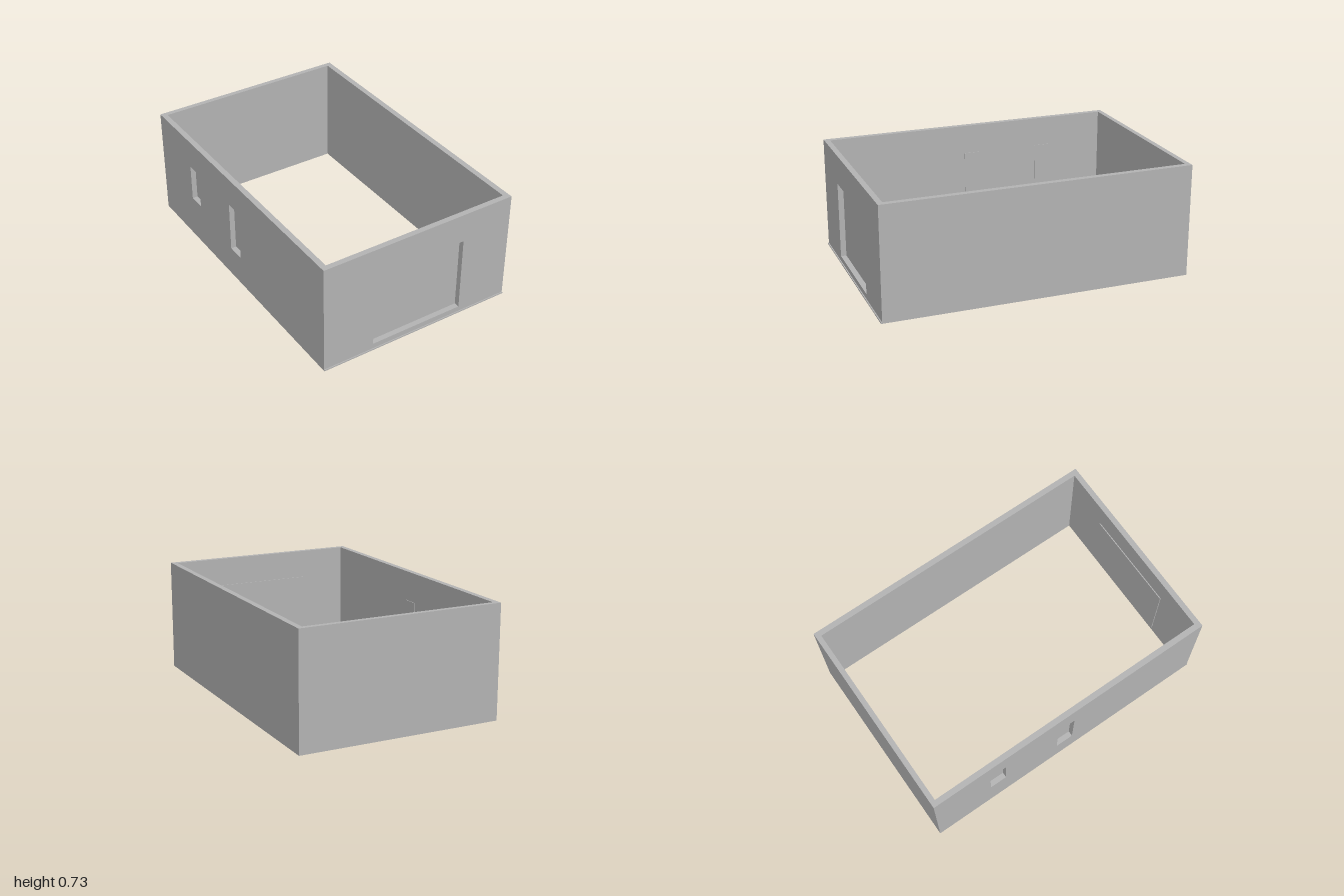
import * as THREE from 'three';

const W = 0.664;               // half width
const H = 0.733;               // wall height
const T = 0.037;               // side wall thickness
const BACK = -1, FRONT = 0.993;
const BACK_IN = -0.967, FRONT_IN = 0.957;
const PANEL = 0.006;           // thickness of the closing panels

// openings as [from, to, bottom, top] along each wall
const DOOR = [-0.318, 0.318, 0.042, 0.54];
const WINDOWS = [
  [-0.6, -0.485, 0.295, 0.54],
  [-0.09, 0.03, 0.205, 0.54],
];

function rectPoints([a, b, y0, y1]) {
  return [[a, y0], [b, y0], [b, y1], [a, y1]].map(([x, y]) => new THREE.Vector2(x, y));
}

// upright wall in the xy plane with rectangular openings, extruded along +z
function wallGeometry(a, b, depth, openings = []) {
  const shape = new THREE.Shape(rectPoints([a, b, 0, H]));
  for (const o of openings) shape.holes.push(new THREE.Path(rectPoints(o).reverse()));
  return new THREE.ExtrudeGeometry(shape, { depth, bevelEnabled: false });
}

export function createModel() {
  const model = new THREE.Group();
  model.name = 'garageShell';
  const grey = new THREE.MeshStandardMaterial({ color: 0xb2b2b2 });
  grey.name = 'plainGrey';

  function add(name, geometry, x = 0, y = 0, z = 0) {
    const mesh = new THREE.Mesh(geometry, grey);
    mesh.name = name;
    mesh.position.set(x, y, z);
    model.add(mesh);
    return mesh;
  }

  // front wall with the door opening, plain back wall
  add('frontWall', wallGeometry(-W, W, FRONT - FRONT_IN, [DOOR]), 0, 0, FRONT_IN);
  add('backWall', wallGeometry(-W, W, BACK_IN - BACK), 0, 0, BACK);

  // side walls fit between them; turning by -90 degrees maps wall x to z
  const leftWall = add('leftWall', wallGeometry(BACK_IN, FRONT_IN, T), W);
  const rightWall = add('rightWall', wallGeometry(BACK_IN, FRONT_IN, T, WINDOWS), -W + T);
  leftWall.rotation.y = rightWall.rotation.y = -Math.PI / 2;

  // thin panels closing the openings on the inside
  const [dx0, dx1, dy0, dy1] = DOOR;
  add('doorPanel', new THREE.BoxGeometry(dx1 - dx0 + 0.012, dy1 - dy0 + 0.012, PANEL),
    0, (dy0 + dy1) / 2, FRONT_IN - PANEL / 2);
  WINDOWS.forEach(([z0, z1, y0, y1], i) => {
    add('windowPanel' + (i + 1), new THREE.BoxGeometry(PANEL, y1 - y0, z1 - z0),
      -W + T + PANEL / 2 - 0.002, (y0 + y1) / 2, (z0 + z1) / 2);
  });

  // low threshold strip along the foot of the front wall
  const strip = 1 - FRONT;
  add('frontThreshold', new THREE.BoxGeometry(2 * W, 0.008, strip), 0, 0.004, FRONT + strip / 2);

  return model;
}
